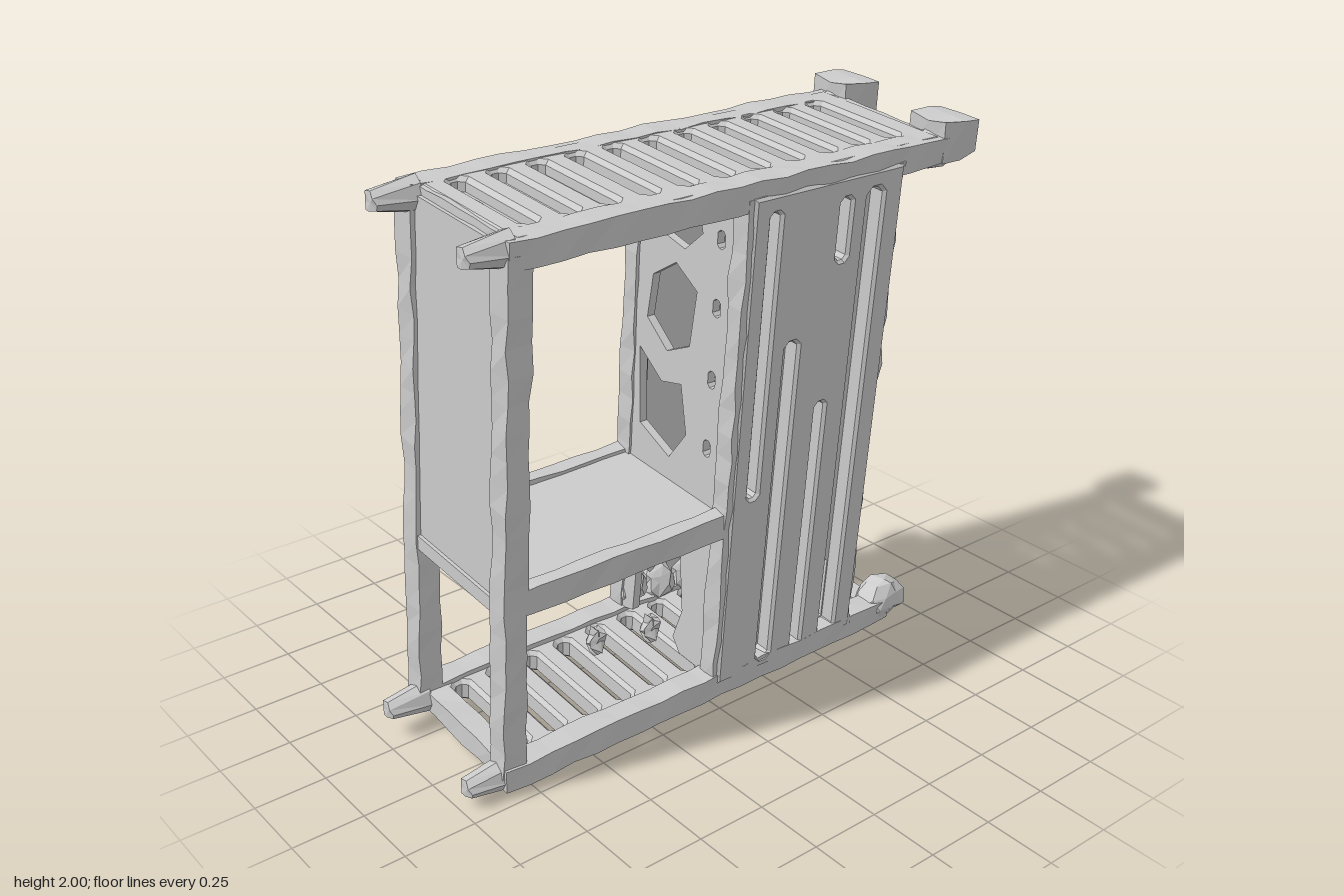
import * as THREE from 'three';

const MID = 0.98, TILT = -0.085;
const mat = new THREE.MeshStandardMaterial({ color: 0xcccccc, flatShading: true, side: THREE.DoubleSide });

// Repeatable noise in -1..1 from a position, so shared corners stay joined
const noise = (x, y, z, k) => {
  const s = Math.sin(x * 127.1 + y * 311.7 + z * 74.7 + k * 53.3) * 43758.5453;
  return 2 * (s - Math.floor(s)) - 1;
};

function roughen(geo, amount) {
  const p = geo.attributes.position;
  for (let i = 0; i < p.count; i++) {
    const c = [p.getX(i), p.getY(i), p.getZ(i)].map(v => Math.round(v * 1000) / 1000);
    p.setXYZ(i, ...c.map((v, k) => v + amount * noise(c[0], c[1], c[2], k + 1)));
  }
  geo.computeVertexNormals();
  return geo;
}

// Closed outline through points
function outline(points, Type = THREE.Shape) {
  return new Type(points.map(([x, y]) => new THREE.Vector2(x, y)));
}
const rect = (x0, y0, x1, y1) => outline([[x0, y0], [x1, y0], [x1, y1], [x0, y1]]);

// Slot with chamfered ends
function slot(x0, y0, x1, y1) {
  const c = Math.min(x1 - x0, y1 - y0) * 0.3;
  return outline([[x0 + c, y0], [x0, y0 + c], [x0, y1 - c], [x0 + c, y1],
    [x1 - c, y1], [x1, y1 - c], [x1, y0 + c], [x1 - c, y0]], THREE.Path);
}

export function createModel() {
  const model = new THREE.Group();
  const frame = new THREE.Group();
  frame.name = 'leaningFrame';
  frame.position.y = MID;
  frame.rotation.z = TILT;
  model.add(frame);

  const add = (name, geo, x = 0, y = 0, z = 0) => {
    const m = new THREE.Mesh(geo, mat);
    m.name = name;
    m.position.set(x, y - MID, z);
    frame.add(m);
  };
  // Box given by its limits, with optional rough surface
  const box = (name, x0, x1, y0, y1, z0, z1, rough = 0) => {
    const s = [x1 - x0, y1 - y0, z1 - z0];
    const n = s.map(v => rough ? Math.max(1, Math.round(v / 0.09)) : 1);
    const g = new THREE.BoxGeometry(...s, ...n);
    add(name, rough ? roughen(g, rough) : g, (x0 + x1) / 2, (y0 + y1) / 2, (z0 + z1) / 2);
  };
  const lump = (name, x, y, z, sx, sy, sz) => {
    const g = new THREE.IcosahedronGeometry(1, 1).scale(sx, sy, sz);
    add(name, roughen(g, 0.012), x, y, z);
  };
  const extrude = (shape, depth, bevel = 0) => new THREE.ExtrudeGeometry(shape, {
    depth, bevelEnabled: bevel > 0, bevelSize: bevel, bevelThickness: bevel, bevelOffset: -bevel, bevelSegments: 1,
  });

  // Slatted top and bottom decks
  for (const [name, y] of [['topDeck', 1.86], ['bottomDeck', 0.05]]) {
    const deck = rect(-0.28, -0.83, 0.28, 0.82);
    for (let i = 0; i < 11; i++) {
      const z = -0.69 + i * 0.141;
      deck.holes.push(slot(-0.2, -z - 0.028, 0.19, -z + 0.028));
    }
    add(name, extrude(deck, 0.055, 0.014).rotateX(-Math.PI / 2), 0, y, 0);
  }
  box('ceiling', -0.26, 0.26, 1.84, 1.885, -0.02, 0.83);

  // Long rails with tapered front ears and knobs at the back
  for (const s of [-1, 1]) {
    for (const [y0, y1] of [[0.045, 0.135], [1.84, 1.93]]) {
      const top = y0 > 1, xc = s * (top ? 0.25 : 0.255);
      box('sideRail', xc - 0.043, xc + 0.043, y0, y1, -0.85, 0.86, 0.005);
      const ear = new THREE.CylinderGeometry(0.032, 0.058, 0.15, 8).rotateX(Math.PI / 2);
      add('frontEar', roughen(ear, 0.006), s * 0.24, (y0 + y1) / 2 + (top ? 0.005 : -0.005), 0.9);
      if (top) {
        const k = s < 0 ? -0.245 : 0.215;
        box('backKnob', k - 0.085, k + 0.085, 1.85, 1.975, -0.97, -0.82, 0.012);
        lump('knobNeck', k, 1.87, -0.85, 0.07, 0.07, 0.09);
      } else lump('backFoot', s * 0.238, 0.105, -0.86, 0.075, 0.08, 0.11);
    }
    // Upright posts and shelf edges
    box('frontLeg', s * 0.25 - 0.04, s * 0.25 + 0.04, 0.1, 1.88, 0.782, 0.863, 0.005);
    box('middlePost', s * 0.26 - 0.035, s * 0.26 + 0.035, 0.1, 1.88, -0.06, 0.008, 0.005);
    box('rearPost', s * 0.25 - 0.04, s * 0.25 + 0.04, 0.1, 1.88, -0.64, -0.575, 0.01);
    box('shelfRail', s * 0.265 - 0.025, s * 0.265 + 0.025, 0.7, 0.79, 0, 0.83, 0.005);
  }
  for (const y of [0.045, 1.85]) for (const z of [-0.83, 0.76])
    box('crossRail', -0.25, 0.25, y, y + 0.075, z, z + 0.075, 0.004);

  // Front panel and the shelf behind it
  box('frontPanel', -0.25, 0.27, 0.73, 1.9, 0.81, 0.848);
  box('panelBottomEdge', -0.25, 0.25, 0.7, 0.75, 0.79, 0.86);
  box('shelf', -0.27, 0.27, 0.72, 0.775, -0.02, 0.82);

  // Ribbed side wall (depth runs along x, outline in -z and y)
  const ribs = rect(0.01, 0.1, 0.64, 1.88);
  for (const [z, w, y0, y1] of [[-0.1, 0.04, 0.82, 1.82], [-0.215, 0.055, 0.13, 1.36], [-0.37, 0.04, 0.11, 1.1],
    [-0.395, 0.045, 1.6, 1.81], [-0.52, 0.07, 0.12, 1.82]])
    ribs.holes.push(slot(-z - w / 2, y0, -z + w / 2, y1));
  add('ribbedWall', extrude(ribs, 0.05, 0.01).rotateY(Math.PI / 2), 0.24, 0, 0);
  const backing = rect(0.03, 0.1, 0.62, 1.86);
  backing.holes.push(slot(0.49, 0.13, 0.55, 0.4));
  add('ribbedWallBacking', extrude(backing, 0.02).rotateY(Math.PI / 2), 0.22, 0, 0);

  // Ragged ridge on the inner side of the ribbed wall
  box('innerRidge', 0.1, 0.23, 0.12, 1.85, -0.42, -0.3, 0.022);

  // Flat side wall with a ragged lower edge
  const flat = outline([[0.01, 0.2], [0.12, 0.24], [0.2, 0.14], [0.33, 0.22], [0.45, 0.3], [0.48, 0.42],
    [0.56, 0.4], [0.57, 0.1], [0.64, 0.1], [0.64, 1.88], [0.01, 1.88]]);
  add('flatWall', extrude(flat, 0.04).rotateY(Math.PI / 2), -0.29, 0, 0);

  // Torn flanges behind the flat wall
  const flanges = [
    [[0.6, 1.3], [0.65, 1.36], [0.68, 1.5], [0.72, 1.58], [0.74, 1.7], [0.79, 1.8], [0.82, 1.86], [0.6, 1.86]],
    [[0.6, 0.08], [0.85, 0.1], [0.79, 0.22], [0.76, 0.31], [0.8, 0.32], [0.79, 0.36], [0.75, 0.37], [0.74, 0.5],
      [0.67, 0.56], [0.6, 0.6]],
  ];
  for (const pts of flanges)
    add('tornFlange', extrude(outline(pts), 0.05, 0.01).rotateY(Math.PI / 2), -0.28, 0, 0);

  // Ragged partition with broken openings
  const part = outline([[-0.26, 0.12], [-0.17, 0.15], [-0.16, 0.35], [-0.18, 0.55], [-0.13, 0.69], [0.0, 0.72],
    [0.06, 0.64], [0.08, 0.45], [0.1, 0.3], [0.06, 0.17], [0.1, 0.12], [0.26, 0.12], [0.26, 1.87], [-0.26, 1.87]]);
  part.holes.push(
    outline([[-0.18, 0.92], [-0.02, 0.86], [0.06, 0.98], [0.02, 1.15], [-0.08, 1.12], [-0.2, 1.2]], THREE.Path),
    outline([[-0.17, 1.32], [-0.06, 1.24], [0.05, 1.3], [0.07, 1.5], [-0.04, 1.56], [-0.15, 1.48]], THREE.Path),
    outline([[-0.18, 1.65], [0.0, 1.62], [0.08, 1.7], [0.05, 1.8], [-0.16, 1.81]], THREE.Path));
  for (const y of [0.95, 1.2, 1.45, 1.68]) part.holes.push(slot(0.15, y, 0.185, y + 0.06));
  add('tornPartition', extrude(part, 0.03), 0, 0, -0.03);

  // Drips below the shelf, scraps on the floor and a loose chunk behind
  for (const [z, h] of [[0.7, 0.06], [0.6, 0.04], [0.44, 0.05], [0.33, 0.04], [0.2, 0.04], [0.1, 0.07]])
    lump('shelfDrip', -0.23, 0.68 - h * 0.5, z, 0.035, h, 0.055);
  for (const [x, y, z] of [[-0.02, 0.22, 0.28], [0.05, 0.24, 0.1]])
    lump('floorScrap', x, y, z, 0.035, 0.055, 0.025);
  for (const [y, z] of [[0.2, -0.05], [0.17, -0.18], [0.16, -0.3], [0.24, -0.42], [0.17, -0.6], [0.2, -0.7]])
    lump('wallScrap', -0.25, y, z, 0.05, 0.08, 0.06);
  for (const y of [0.4, 0.62, 0.75]) lump('legBurr', -0.275, y, 0.81, 0.03, 0.05, 0.035);
  lump('looseChunk', -0.24, 0.58, -0.86, 0.06, 0.095, 0.075);

  return model;
}
